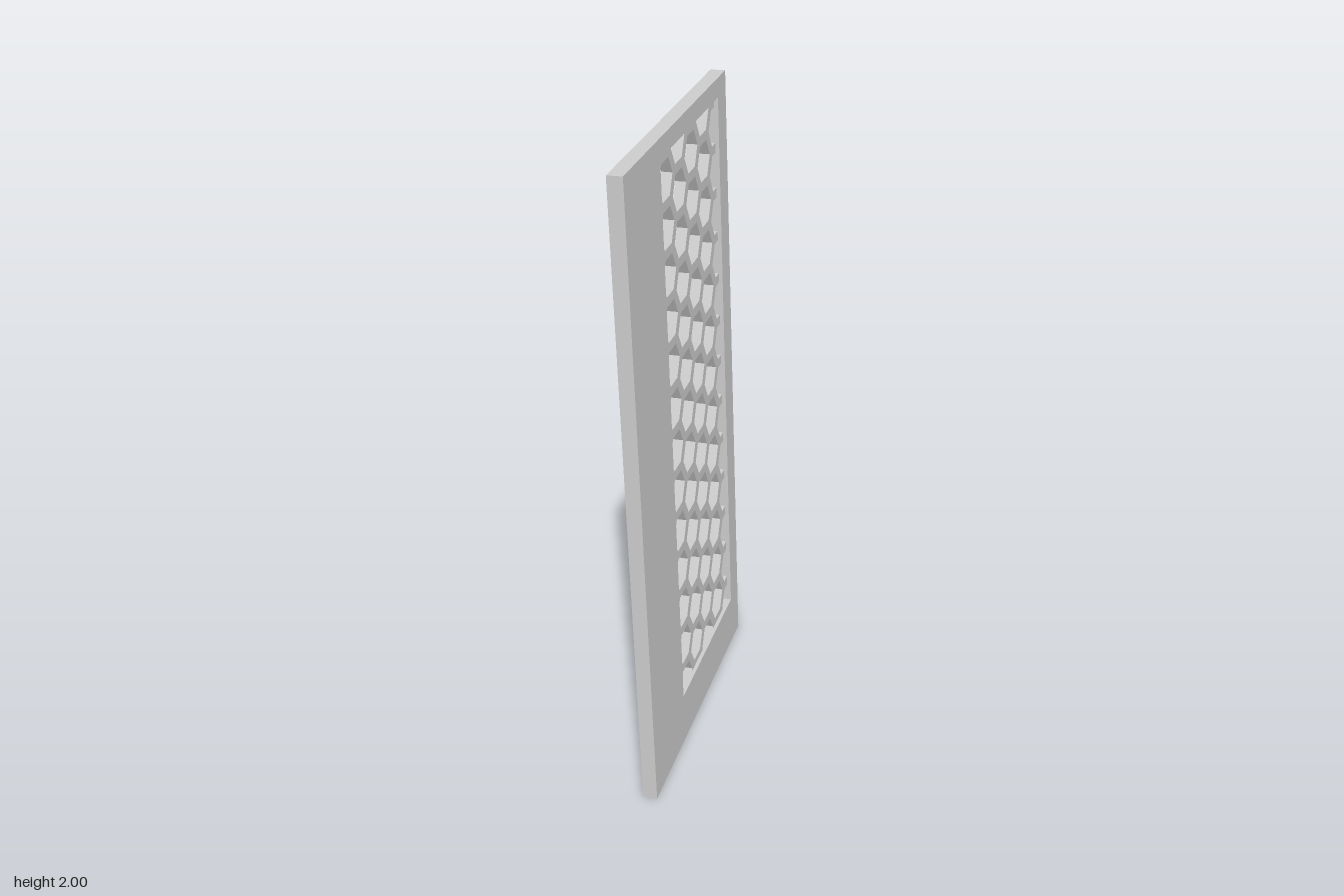
import * as THREE from 'three';

const THICK = 0.045, RECESS = 0.012;
// Window bounds in panel coordinates (u runs towards the back, v runs up from the panel centre)
const WIN = { u0: -0.173, u1: 0.389, v0: -0.83, v1: 0.939 };

const rect = (u0, v0, u1, v1) => [[u0, v0], [u1, v0], [u1, v1], [u0, v1]].map(p => new THREE.Vector2(...p));

// Keep the part of a convex polygon where sign * (p[axis] - limit) >= 0
function clip(points, axis, limit, sign) {
  const out = [];
  points.forEach((a, i) => {
    const b = points[(i + 1) % points.length];
    const da = sign * (a[axis] - limit), db = sign * (b[axis] - limit);
    if (da >= 0) out.push(a);
    if (da * db < 0) out.push(a.clone().lerp(b, da / (da - db)));
  });
  return out;
}

// Flat-topped hexagon trimmed to the window
function hexagon(u, v, r) {
  let pts = [];
  for (let i = 0; i < 6; i++) {
    const a = i * Math.PI / 3;
    pts.push(new THREE.Vector2(u + r * Math.cos(a), v + r * Math.sin(a)));
  }
  pts = clip(pts, 'x', WIN.u0, 1);
  pts = clip(pts, 'x', WIN.u1, -1);
  pts = clip(pts, 'y', WIN.v0, 1);
  return clip(pts, 'y', WIN.v1, -1);
}

function plate(name, outline, holes, depth, material) {
  const shape = new THREE.Shape(outline);
  shape.holes = holes.map(h => new THREE.Path(h));
  const mesh = new THREE.Mesh(new THREE.ExtrudeGeometry(shape, { depth, bevelEnabled: false }), material);
  mesh.name = name;
  return mesh;
}

export function createModel() {
  const material = new THREE.MeshStandardMaterial({ color: 0xcccccc, flatShading: true });
  const panel = new THREE.Group();
  panel.name = 'ventPanel';

  // Solid surround with an off-centre window
  const frame = plate('frame', rect(-0.4725, -0.9965, 0.4725, 0.9965),
    [rect(WIN.u0, WIN.v0, WIN.u1, WIN.v1)], THICK, material);
  frame.position.z = -THICK / 2;

  // Honeycomb grille, set back from one face and tucked slightly into the frame
  const pitch = 0.1397, step = pitch * Math.sqrt(3) / 2, holes = [];
  for (let col = -1; col <= 4; col++) {
    for (let row = -2; row <= 13; row++) {
      const v = -0.682 + pitch * (row + (col % 2 ? 0.5 : 0));
      const hole = hexagon(-0.098 + step * col, v, 0.0635);
      if (hole.length > 2 && Math.abs(THREE.ShapeUtils.area(hole)) > 1e-4) holes.push(hole);
    }
  }
  const e = 0.004;
  const grille = plate('honeycombGrille', rect(WIN.u0 - e, WIN.v0 - e, WIN.u1 + e, WIN.v1 + e),
    holes, THICK - RECESS - 0.0005, material);
  grille.position.z = -THICK / 2 + 0.0005;

  // Turn the plates to face sideways, then lean the panel
  const facing = new THREE.Group();
  facing.name = 'plates';
  facing.rotation.y = Math.PI / 2;
  facing.add(frame, grille);
  panel.add(facing);
  panel.rotation.set(0.006, 0, 0.035);
  panel.position.y = 1;

  const model = new THREE.Group();
  model.name = 'leaningVentPanel';
  model.add(panel);
  return model;
}
